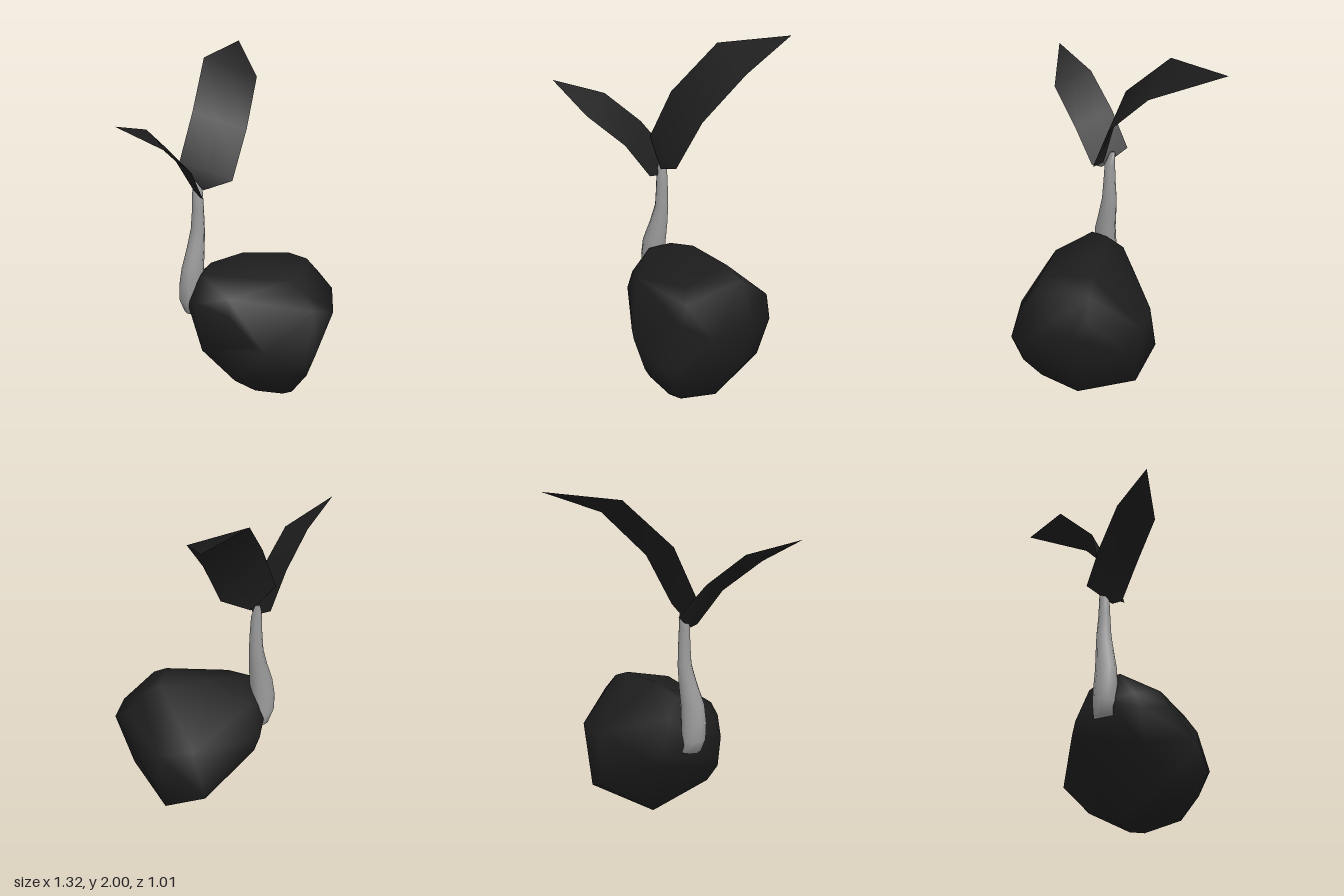
import * as THREE from 'three';
import { mergeVertices } from 'three/addons/utils/BufferGeometryUtils.js';
import { ConvexGeometry } from 'three/addons/geometries/ConvexGeometry.js';

const charcoal = new THREE.MeshStandardMaterial({ color: 0x1d1d1d, side: THREE.DoubleSide });
charcoal.name = 'charcoal';
const stemGrey = new THREE.MeshStandardMaterial({ color: 0x9a9a9a });
stemGrey.name = 'stemGrey';

function build(pos, index) {
  const g = new THREE.BufferGeometry();
  g.setAttribute('position', new THREE.Float32BufferAttribute(pos, 3));
  g.setIndex(index);
  g.computeVertexNormals();
  return g;
}

// Smooth-shaded low-poly lump around its corner points
function lump(corners) {
  const hull = new ConvexGeometry(corners.map((c) => new THREE.Vector3(...c)));
  hull.deleteAttribute('normal');
  const g = mergeVertices(hull);
  g.computeVertexNormals();
  return g;
}

// Closed loft through level oval rings, each given as [y, xMin, xMax, zMin, zMax]
function loft(rings, sides) {
  const pos = [], index = [];
  for (const [y, x0, x1, z0, z1] of rings) {
    for (let i = 0; i < sides; i++) {
      const a = (i / sides) * Math.PI * 2;
      pos.push((x0 + x1) / 2 + Math.cos(a) * (x1 - x0) / 2, y,
        (z0 + z1) / 2 + Math.sin(a) * (z1 - z0) / 2);
    }
  }
  for (let r = 0; r < rings.length - 1; r++) {
    for (let i = 0; i < sides; i++) {
      const j = (i + 1) % sides;
      const a = r * sides + i, b = r * sides + j, c = a + sides, d = b + sides;
      index.push(a, c, b, b, c, d);
    }
  }
  const top = (rings.length - 1) * sides;
  for (let i = 1; i < sides - 1; i++) {
    index.push(0, i, i + 1, top, top + i + 1, top + i);
  }
  return build(pos, index);
}

// Leaf sheet: base point, pairs of edge points, tip; the midrib sinks by keel
function leafSheet({ base, pairs, tip }, keel) {
  const rows = pairs.map(([l, r]) => {
    const mid = l.map((v, k) => (v + r[k]) / 2);
    mid[1] -= keel;
    return [l, mid, r];
  });
  const pos = [...base, ...rows.flat(2), ...tip];
  const index = [0, 2, 1, 0, 3, 2];
  for (let i = 0; i < rows.length - 1; i++) {
    for (let k = 0; k < 2; k++) {
      const a = 1 + i * 3 + k;
      index.push(a, a + 1, a + 3, a + 1, a + 4, a + 3);
    }
  }
  const last = rows.length * 3 - 2;
  index.push(last, last + 1, last + 3, last + 1, last + 2, last + 3);
  return build(pos, index);
}

export function createModel() {
  const model = new THREE.Group();
  const add = (name, geometry, material) => {
    const mesh = new THREE.Mesh(geometry, material);
    mesh.name = name;
    model.add(mesh);
  };

  // Lopsided seed, from its underside up to its crown
  add('seedBody', lump([
    [0.29, 0, 0.07], [0.21, 0.03, -0.04], [0.39, 0.028, 0.19],
    [0.22, 0.07, 0.35], [0.15, 0.08, 0.34], [0.01, 0.12, 0.25],
    [-0.07, 0.18, 0.16], [0.58, 0.17, -0.09], [0.22, 0.22, 0.46],
    [0.44, 0.27, -0.28], [0.54, 0.27, 0.25], [0.035, 0.3, 0.45],
    [-0.18, 0.36, 0], [0.15, 0.35, 0.505], [0.24, 0.36, 0.505],
    [-0.05, 0.43, 0.37], [-0.08, 0.46, 0.31], [0.1, 0.46, -0.32],
    [0.66, 0.48, 0.02], [0.05, 0.53, -0.315], [-0.2, 0.55, -0.01],
    [0.62, 0.57, -0.1], [0.47, 0.57, -0.22], [0.43, 0.56, 0.47],
    [0.61, 0.61, 0.31], [-0.13, 0.61, 0.17], [-0.13, 0.6, -0.18],
    [0.25, 0.62, 0.475], [-0.18, 0.64, -0.05], [0.6, 0.69, 0.21],
    [-0.1, 0.7, 0.13], [0.25, 0.71, 0.4], [0.05, 0.72, -0.24],
    [0.225, 0.77, 0.31], [-0.09, 0.78, -0.1], [0.52, 0.79, 0.18],
    [0.03, 0.81, -0.14], [0.1, 0.828, -0.09], [0.42, 0.84, 0.12],
    [0.19, 0.857, -0.04],
  ]), charcoal);

  // Bent stem rising from the back of the seed
  add('stem', loft([
    [0.52, -0.13, 0.0, -0.24, -0.12],
    [0.6, -0.16, -0.02, -0.255, -0.12],
    [0.7, -0.163, -0.015, -0.25, -0.12],
    [0.8, -0.15, -0.01, -0.24, -0.12],
    [0.92, -0.107, 0.0, -0.232, -0.13],
    [1.03, -0.075, 0.005, -0.225, -0.14],
    [1.15, -0.068, 0.002, -0.215, -0.147],
    [1.25, -0.066, -0.003, -0.212, -0.153],
    [1.32, -0.045, -0.01, -0.21, -0.18],
  ], 10), stemGrey);

  // One leaf reaching up and back, a smaller one spreading to the other side
  const leaves = {
    largeLeaf: {
      base: [-0.03, 1.27, -0.14],
      pairs: [
        [[-0.12, 1.43, -0.24], [0.09, 1.325, -0.025]],
        [[0.0, 1.7, -0.255], [0.23, 1.6, -0.05]],
        [[0.23, 1.96, -0.4], [0.44, 1.85, -0.175]],
      ],
      tip: [0.63, 2.0, -0.51],
    },
    smallLeaf: {
      base: [-0.05, 1.23, -0.14],
      pairs: [
        [[-0.035, 1.33, -0.29], [-0.08, 1.24, -0.09]],
        [[-0.18, 1.51, -0.255], [-0.21, 1.43, -0.04]],
        [[-0.38, 1.675, -0.21], [-0.42, 1.6, 0.0]],
      ],
      tip: [-0.66, 1.755, -0.125],
    },
  };
  for (const [name, leaf] of Object.entries(leaves)) {
    add(name, leafSheet(leaf, 0), charcoal);
    add(name + 'Underside', leafSheet(leaf, 0.02), charcoal);
  }

  return model;
}
